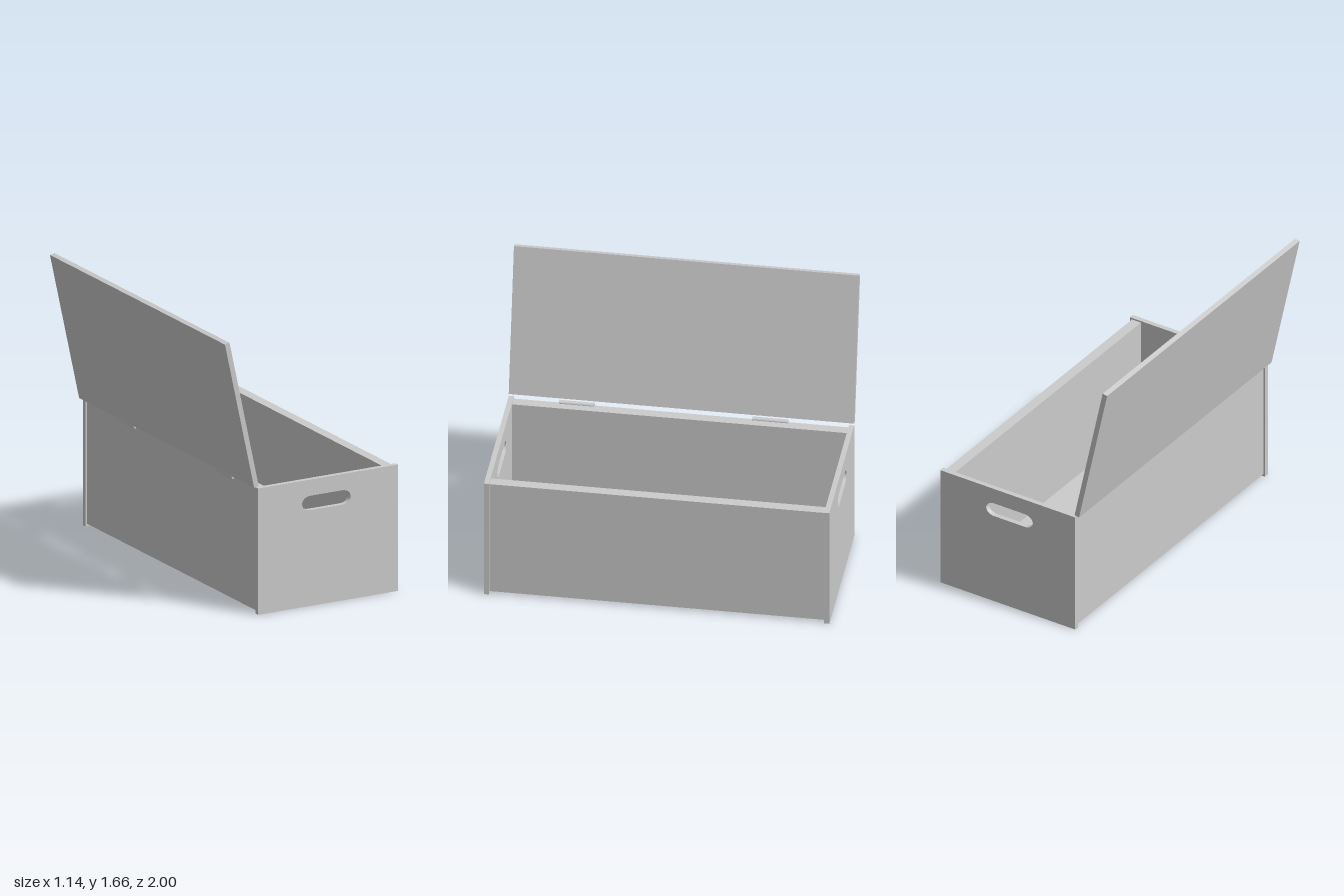
import * as THREE from 'three';

const material = new THREE.MeshStandardMaterial({ color: 0xcccccc, flatShading: true });

function add(parent, name, geometry, x = 0, y = 0, z = 0) {
  const mesh = new THREE.Mesh(geometry, material);
  mesh.name = name;
  mesh.position.set(x, y, z);
  parent.add(mesh);
  return mesh;
}

// Box given by its x, y and z ranges
function board(parent, name, [x0, x1], [y0, y1], [z0, z1]) {
  return add(parent, name, new THREE.BoxGeometry(x1 - x0, y1 - y0, z1 - z0),
    (x0 + x1) / 2, (y0 + y1) / 2, (z0 + z1) / 2);
}

// End board with a rounded hand slot
function endGeometry(thickness) {
  const shape = new THREE.Shape();
  shape.moveTo(-0.355, 0);
  shape.lineTo(0.57, 0);
  shape.lineTo(0.57, 0.757);
  shape.lineTo(-0.355, 0.757);
  shape.closePath();
  const slot = new THREE.Path();
  const cx = 0.096, cy = 0.617, straight = 0.104, rx = 0.056, ry = 0.043;
  slot.absellipse(cx + straight, cy, rx, ry, -Math.PI / 2, Math.PI / 2, false);
  slot.absellipse(cx - straight, cy, rx, ry, Math.PI / 2, Math.PI * 1.5, false);
  slot.closePath();
  shape.holes.push(slot);
  return new THREE.ExtrudeGeometry(shape, { depth: thickness, bevelEnabled: false, curveSegments: 16 });
}

export function createModel() {
  const model = new THREE.Group();
  model.name = 'storageChest';

  // Ends with hand slots
  const end = endGeometry(0.03);
  add(model, 'frontEnd', end, 0, 0, 0.97);
  add(model, 'backEnd', end, 0, 0, -1);

  // Long sides and floor between the ends
  const inner = [-0.97, 0.97];
  board(model, 'leftSide', [0.495, 0.556], [0.015, 0.747], inner);
  board(model, 'rightSide', [-0.345, -0.284], [0.015, 0.747], inner);
  board(model, 'floor', [-0.284, 0.495], [0.015, 0.06], inner);

  // Open lid, leaning outwards
  const lid = add(model, 'lid', new THREE.BoxGeometry(0.031, 0.908, 2), -0.462, 1.212, 0);
  lid.rotation.z = 0.214;

  // Hinge barrels on the rim under the lid
  for (const z of [0.605, -0.515]) {
    const hinge = add(model, 'hinge', new THREE.CylinderGeometry(0.014, 0.014, 0.205, 16), -0.346, 0.748, z);
    hinge.rotation.x = Math.PI / 2;
  }
  return model;
}
